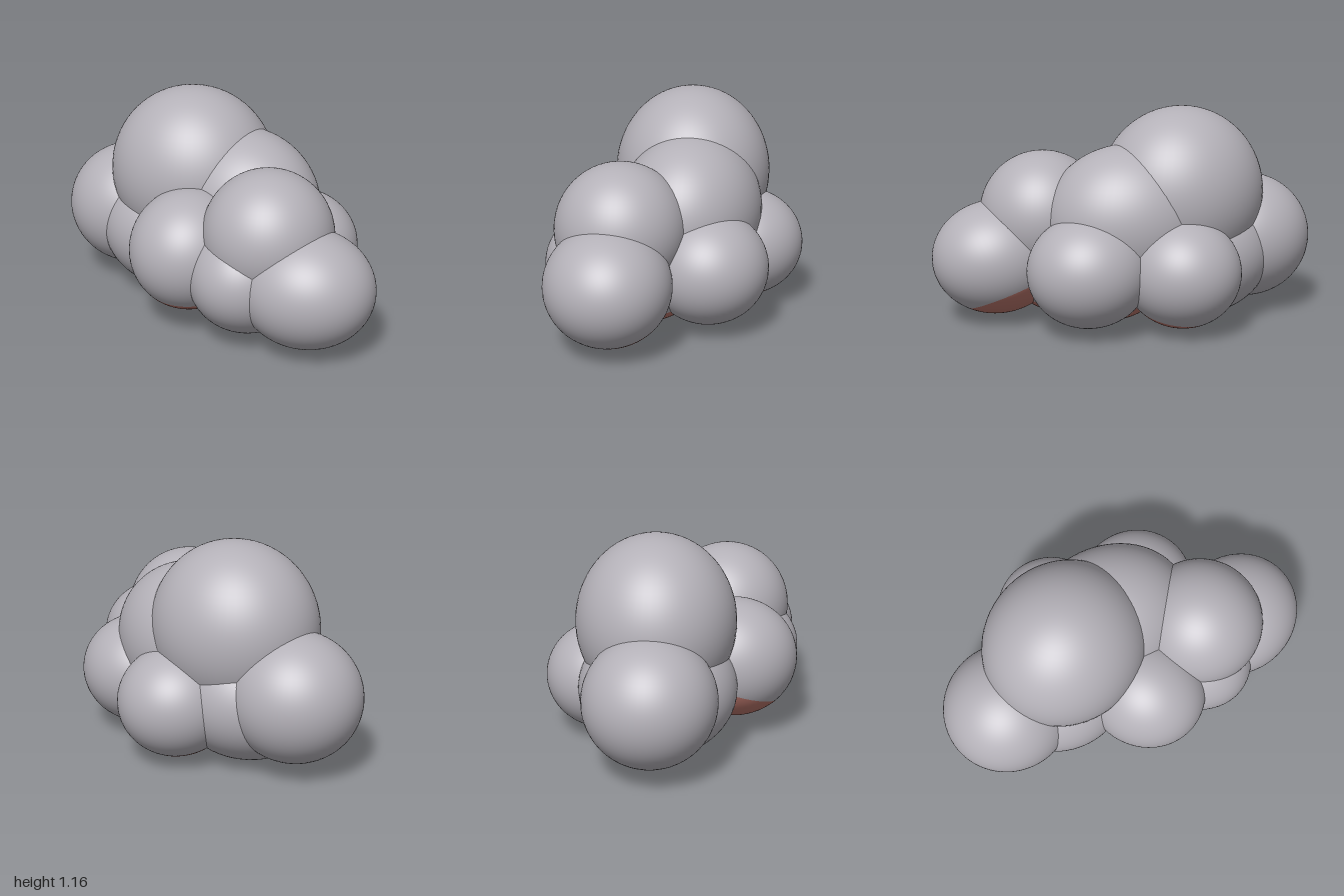
import * as THREE from 'three';

export function createModel() {
  const cloud = new THREE.Group();
  cloud.name = 'cloud';
  const grey = new THREE.MeshStandardMaterial({ color: 0xb4b1b8 });
  grey.name = 'cloudGrey';
  const rust = new THREE.MeshStandardMaterial({ color: 0xb47268 });
  rust.name = 'undersideRust';

  // Each puff is an ellipsoid; capAxis and capCos mark the rust cap on its underside.
  const puffs = [
    { name: 'crownPuff', at: [-0.23, 0.70, -0.115], size: [0.46, 0.465, 0.425] },
    { name: 'shoulderPuff', at: [0.08, 0.57, -0.08], size: [0.46, 0.41, 0.38], yaw: -0.35 },
    { name: 'rightEndPuff', at: [-0.64, 0.415, -0.16], size: [0.36, 0.345, 0.35] },
    { name: 'frontPuff', at: [-0.05, 0.42, 0.31], size: [0.32, 0.325, 0.345], capAxis: [-0.1, -0.85, -0.3], capCos: 0.44 },
    { name: 'frontUpperPuff', at: [0.395, 0.57, 0.305], size: [0.345, 0.35, 0.345] },
    { name: 'leftEndPuff', at: [0.64, 0.35, 0.38], size: [0.36, 0.31, 0.33], capAxis: [-0.3, -0.9, -0.3], capCos: 0.62 },
    { name: 'backLeftPuff', at: [0.38, 0.345, -0.15], size: [0.33, 0.30, 0.32], capAxis: [-0.2, -1, 0.2], capCos: 0.82 },
    { name: 'backPuff', at: [-0.05, 0.33, -0.39], size: [0.31, 0.295, 0.32], capAxis: [0, -1, 0.3], capCos: 0.68 },
    { name: 'basePuff', at: [-0.33, 0.362, -0.11], size: [0.42, 0.36, 0.42], capAxis: [0.4, -0.9, 0], capCos: 0.73 },
    { name: 'frontBasePuff', at: [0.3, 0.358, 0.25], size: [0.34, 0.335, 0.45], capAxis: [-0.1, -1, -0.3], capCos: 0.65 },
    { name: 'middleBasePuff', at: [0.18, 0.35, -0.05], size: [0.32, 0.317, 0.32], capAxis: [0, -1, 0], capCos: 0.2 },
  ];

  const up = new THREE.Vector3(0, 1, 0);
  for (const { name, at, size, yaw = 0, capAxis, capCos } of puffs) {
    const puff = new THREE.Group();
    puff.name = name;
    puff.position.set(...at);
    puff.rotation.y = yaw;

    // The sphere's pole is turned along the cap axis before it is stretched.
    const turn = new THREE.Quaternion();
    if (capAxis) turn.setFromUnitVectors(up, new THREE.Vector3(...capAxis).normalize());
    const addBand = (bandName, material, start, length) => {
      const geometry = new THREE.SphereGeometry(1, 64, 40, 0, Math.PI * 2, start, length);
      geometry.applyQuaternion(turn);
      geometry.scale(...size);
      const mesh = new THREE.Mesh(geometry, material);
      mesh.name = bandName;
      puff.add(mesh);
    };
    const split = capAxis ? Math.acos(capCos) : 0;
    if (capAxis) addBand('underside', rust, 0, split);
    addBand('body', grey, split, Math.PI - split);
    cloud.add(puff);
  }
  return cloud;
}
